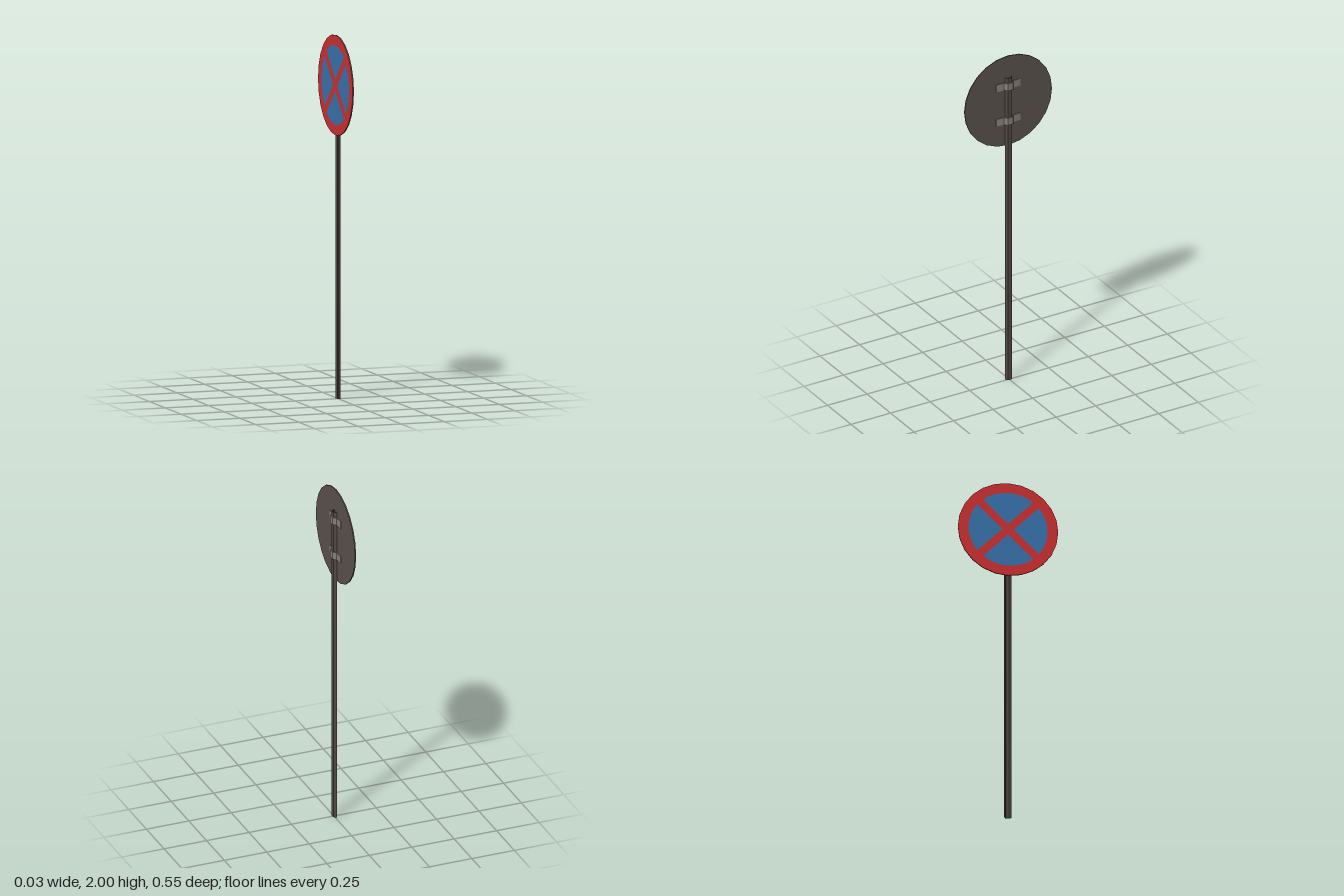
import * as THREE from 'three';

const material = (name, color) => {
  const m = new THREE.MeshStandardMaterial({ color });
  m.name = name;
  return m;
};

// Open hat-shaped profile in x/z, mirrored about z = 0 and extruded upwards
function extrudeUp(half, height) {
  const { outer, inner } = half;
  const flip = ([x, z]) => [x, -z];
  const loop = [
    ...outer, ...[...outer].reverse().map(flip),
    ...inner.map(flip), ...[...inner].reverse(),
  ];
  const shape = new THREE.Shape(loop.map(([x, z]) => new THREE.Vector2(x, z)));
  const geo = new THREE.ExtrudeGeometry(shape, { depth: height, bevelEnabled: false });
  return geo.rotateX(-Math.PI / 2);
}

export function createModel() {
  const steel = material('plate steel', 0x5b524d);
  const postSteel = material('post steel', 0x524945);
  const clampSteel = material('clamp steel', 0x87807a);
  const red = material('sign red', 0xd03030);
  const blue = material('sign blue', 0x3a74ae);

  const group = new THREE.Group();
  group.name = 'roadSign';
  const add = (name, geo, mat, x = 0, y = 0, z = 0) => {
    const mesh = new THREE.Mesh(geo, mat);
    mesh.name = name;
    mesh.position.set(x, y, z);
    group.add(mesh);
  };

  // Post: folded channel, open towards the plate
  add('post', extrudeUp({
    outer: [[-0.009, 0.021], [0.008, 0.012]],
    inner: [[-0.009, 0.016], [0.004, 0.009]],
  }, 1.87), postSteel);

  // Plate: grey rim and back, red painted face towards -x
  const radius = 0.276, centreY = 1.724;
  const plate = new THREE.CylinderGeometry(radius, radius, 0.007, 24).rotateZ(Math.PI / 2);
  add('signPlate', plate, [steel, red, steel], -0.0125, centreY);

  // Four blue fields, leaving a red ring and diagonal cross
  const a = 0.022, r = 0.218;
  const start = Math.asin(a / r);
  const field = new THREE.Shape();
  field.moveTo(a, a);
  field.lineTo(r * Math.cos(start), a);
  field.absarc(0, 0, r, start, Math.PI / 2 - start, false);
  field.lineTo(a, a);
  for (let i = 0; i < 4; i++) {
    const geo = new THREE.ShapeGeometry(field, 10)
      .rotateZ(Math.PI / 4 + i * Math.PI / 2)
      .rotateY(-Math.PI / 2);
    add('blueField' + (i + 1), geo, blue, -0.0168, centreY);
  }

  // Clamps: bent straps around the post
  const clampGeo = extrudeUp({
    outer: [[-0.007, 0.077], [-0.003, 0.03], [0.0145, 0.017]],
    inner: [[-0.0095, 0.077], [-0.008, 0.026], [0.0085, 0.014]],
  }, 0.044);
  [1.584, 1.797].forEach((y, i) => add(i ? 'upperClamp' : 'lowerClamp', clampGeo, clampSteel, 0, y));

  return group;
}
